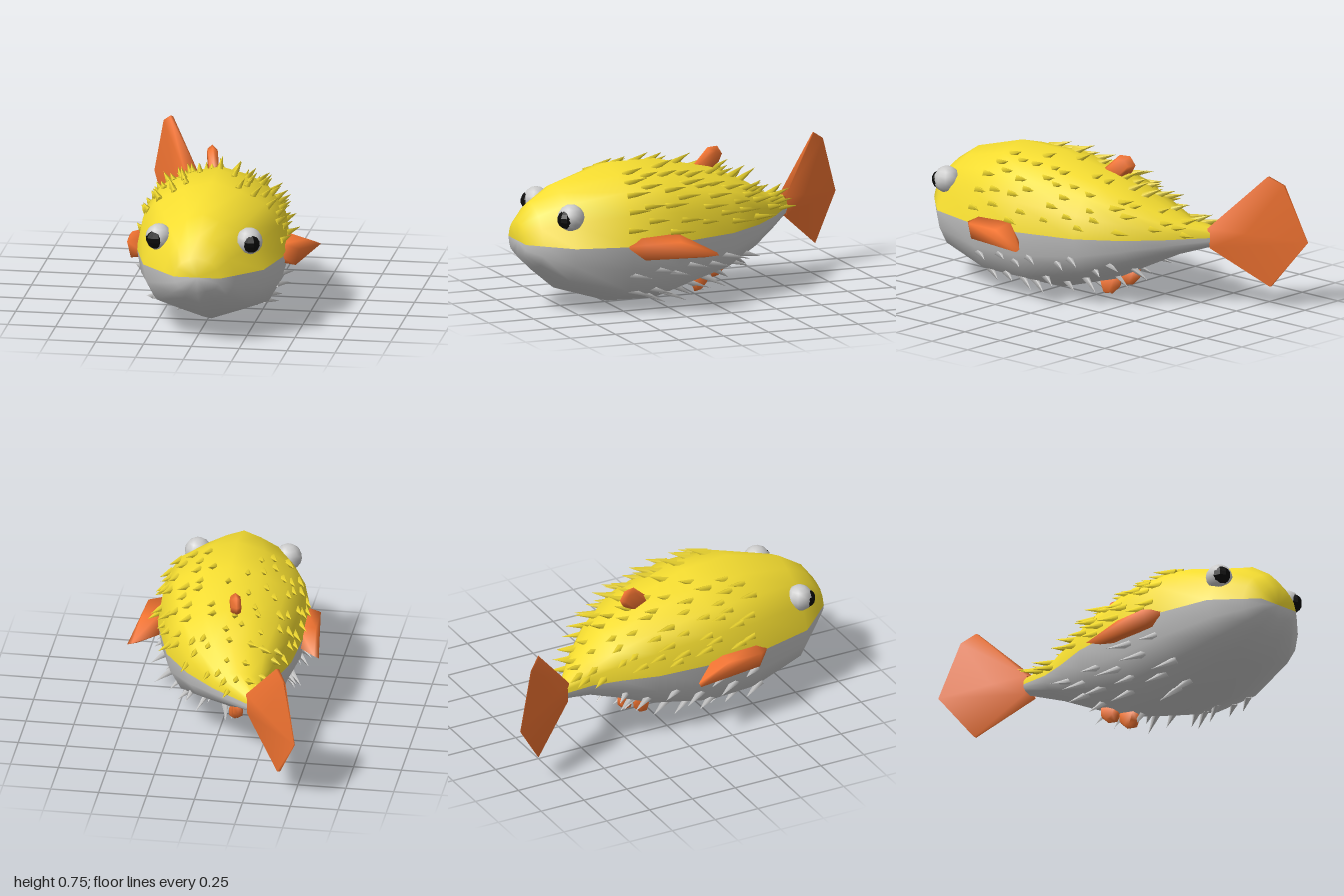
import * as THREE from 'three';
import { mergeGeometries, mergeVertices } from 'three/addons/utils/BufferGeometryUtils.js';
import { ConvexGeometry } from 'three/addons/geometries/ConvexGeometry.js';

const mat = (color, flatShading = false) =>
  new THREE.MeshStandardMaterial({ color, flatShading, side: THREE.DoubleSide });

const SEAM = 0.375; // height where back and belly meet
// Body stations: z, centre x, half width, top y, bottom y, narrowing towards the crown
const RINGS = [
  [1, 0.03, 0.12, 0.48, 0.29, 0.15],
  [0.93, 0.03, 0.19, 0.575, 0.22, 0.28],
  [0.8, 0.03, 0.315, 0.66, 0.11, 0.34],
  [0.5, 0.022, 0.39, 0.745, 0.015, 0.05],
  [0.23, 0.005, 0.385, 0.74, 0.005, 0],
  [-0.1, -0.035, 0.325, 0.66, 0.1, 0],
  [-0.3, -0.08, 0.23, 0.565, 0.2, 0],
  [-0.45, -0.145, 0.14, 0.475, 0.275, 0],
  [-0.6, -0.25, 0.045, 0.425, 0.325, 0],
];
// Cross-section from the left seam over the back, round under the belly
const upper = [[1, 0], [0.94, 0.42], [0.75, 0.72], [0.4, 0.885], [0, 1]];
const lower = [[-1, 0], [-0.94, -0.36], [-0.77, -0.7], [-0.4, -0.85], [0, -1]];
const flip = (p) => p.slice(0, 4).reverse().map(([x, y]) => [-x, y]);
const SECTION = [...upper, ...flip(upper).slice(0, 3), ...lower, ...flip(lower)];

function ringPoint(ring, [u, v]) {
  const [z, cx, w, top, bottom, pinch] = ring;
  const y = SEAM + v * (v > 0 ? top - SEAM : SEAM - bottom);
  return new THREE.Vector3(cx + u * w * (1 - pinch * Math.max(v, 0)), y, z);
}

// Surface between two section indices, closed at nose and tail root
function bodyHalf(from, to) {
  const pos = [], idx = [], n = to - from + 1;
  const closed = (r) => [r[0], r[1], 0, SEAM, SEAM, 0];
  const rings = [closed(RINGS[0]), ...RINGS, closed(RINGS[RINGS.length - 1])];
  rings.forEach((ring, i) => {
    for (let j = 0; j < n; j++) {
      pos.push(...ringPoint(ring, SECTION[from + j]).toArray());
      if (i && j) {
        const d = i * n + j, c = d - 1, b = d - n, a = b - 1;
        idx.push(a, c, b, b, c, d);
      }
    }
  });
  const g = new THREE.BufferGeometry();
  g.setAttribute('position', new THREE.Float32BufferAttribute(pos, 3));
  g.setIndex(idx);
  g.computeVertexNormals();
  return g;
}

function ringAt(z) {
  let i = 0;
  while (i < RINGS.length - 2 && RINGS[i + 1][0] > z) i++;
  const a = RINGS[i], b = RINGS[i + 1], t = (a[0] - z) / (a[0] - b[0]);
  return a.map((v, k) => v + (b[k] - v) * t);
}

let seed = 7;
const rand = () => (seed = (seed * 16807) % 2147483647) / 2147483647;

// Staggered rows of swept-back spikes; the very top and bottom stay clear
function spikes(from, to, rows, perRow, zStart, zEnd, length, lift) {
  const list = [];
  for (let r = 0; r < rows; r++) {
    const count = Math.max(3, Math.round(perRow * (1 - 0.5 * r / rows)));
    for (let k = 0; k < count; k++) {
      const z = zStart + (zEnd - zStart) * (r + rand() * 0.8) / rows;
      const s = from + (to - from) * (k + 0.5 + (r % 2 ? 0.2 : -0.2) + (rand() - 0.5) * 0.4) / count;
      const j = Math.floor(s), t = s - j;
      const a = SECTION[j], b = SECTION[(j + 1) % SECTION.length];
      const ring = ringAt(z);
      const p = ringPoint(ring, [a[0] + (b[0] - a[0]) * t, a[1] + (b[1] - a[1]) * t]);
      if (p.y > 0.715 || p.y < 0.05) continue;
      const out = new THREE.Vector3(p.x - ring[1], (p.y - SEAM) * 0.55, 0).normalize();
      const sweep = new THREE.Vector3(z < -0.2 ? -0.3 : 0, 0, -0.85);
      const dir = out.multiplyScalar(lift).add(sweep).normalize();
      const len = length * (0.8 + rand() * 0.4);
      const g = new THREE.ConeGeometry(0.022, len, 4).translate(0, len / 2 - 0.025, 0);
      g.applyQuaternion(new THREE.Quaternion().setFromUnitVectors(new THREE.Vector3(0, 1, 0), dir));
      list.push(g.translate(p.x, p.y, p.z));
    }
  }
  return mergeGeometries(list);
}

// Convex solid around points, with softened normals
function hull(pts) {
  const g = new ConvexGeometry(pts.map((p) => new THREE.Vector3(...p)));
  g.deleteAttribute('normal');
  const soft = mergeVertices(g);
  soft.computeVertexNormals();
  return soft;
}

// Small thick fin: outline in (z, y), bevelled around its middle plane x = cx + slope * z
function stubFin(outline, cx, slope, half) {
  const mz = outline.reduce((s, p) => s + p[0], 0) / outline.length;
  const my = outline.reduce((s, p) => s + p[1], 0) / outline.length;
  const pts = [];
  for (const [z, y] of outline) {
    pts.push([cx + slope * z, y, z]);
    const zi = mz + (z - mz) * 0.7, yi = my + (y - my) * 0.7;
    for (const s of [-1, 1]) pts.push([cx + slope * zi + s * half, yi, zi]);
  }
  return hull(pts);
}

export function createModel() {
  const model = new THREE.Group();
  const yellow = mat(0xf4dc30), grey = mat(0xcccccc), orange = mat(0xf57532);
  const white = mat(0xf2f2f2), black = mat(0x080808, true);
  const add = (name, geometry, material, parent = model) => {
    const m = new THREE.Mesh(geometry, material);
    m.name = name;
    parent.add(m);
    return m;
  };

  // Body and spikes
  add('back', bodyHalf(0, 8), yellow);
  add('belly', bodyHalf(8, 16), grey);
  add('backSpikes', spikes(0.2, 7.8, 11, 11, 0.5, -0.55, 0.115, 0.42), yellow);
  add('bellySpikes', spikes(8.6, 15.4, 7, 7, 0.55, -0.3, 0.13, 0.55), grey);

  // Eyes and side fins, mirrored about the head's centre line
  for (const s of [1, -1]) {
    const side = s > 0 ? 'left' : 'right';
    const x = (d) => 0.025 + s * d;
    const eye = new THREE.Group();
    eye.name = side + 'Eye';
    eye.position.set(0.034 + s * 0.236, 0.527, 0.8);
    model.add(eye);
    add('eyeball', new THREE.SphereGeometry(0.07, 10, 8), white, eye);
    add('pupil', new THREE.SphereGeometry(0.05, 9, 7), black, eye).position.set(s * 0.013, -0.004, 0.029);

    add(side + 'SideFin', hull([
      [x(0.37), 0.375, 0.54], [x(0.36), 0.42, 0.46], [x(0.36), 0.42, 0.25],
      [x(0.36), 0.32, 0.46], [x(0.35), 0.33, 0.2], [x(0.45), 0.395, 0.46],
      [x(0.43), 0.31, 0.46], [x(0.455), 0.395, 0.27], [x(0.5), 0.32, 0.08],
      [x(0.475), 0.33, 0.08], [x(0.455), 0.305, 0.14],
    ]), orange);
  }

  // Tail fin, swung to the right and thinning to its edge
  const tailX = (z) => -0.25 + (z + 0.6) * 0.68;
  const tail = [];
  for (const s of [-1, 1]) {
    for (const [z, y, t] of [[-0.59, 0.425, 0.04], [-0.6, 0.32, 0.04], [-0.83, 0.705, 0.008],
      [-0.9, 0.66, 0.005], [-1, 0.36, 0.002], [-0.84, 0.12, 0.008], [-0.75, 0.4, 0.028]]) {
      tail.push([tailX(z) + s * t, y, z]);
    }
  }
  add('tailFin', hull(tail), orange);

  // Dorsal fin and the two small fins underneath
  add('dorsalFin', stubFin([[0.02, 0.63], [-0.02, 0.68], [-0.1, 0.755], [-0.16, 0.755],
    [-0.19, 0.71], [-0.17, 0.67], [-0.1, 0.62]], -0.045, 0.24, 0.026), orange);
  const under = [[0.01, 0.1], [-0.005, 0.04], [-0.02, 0.005], [-0.06, 0.01], [-0.1, 0.05], [-0.1, 0.11]];
  const rear = under.map(([z, y]) => [z - 0.11, y + 0.06]);
  add('frontBellyFin', stubFin(under, -0.045, 0.24, 0.028), orange);
  add('rearBellyFin', stubFin(rear, -0.05, 0.24, 0.026), orange);

  return model;
}
